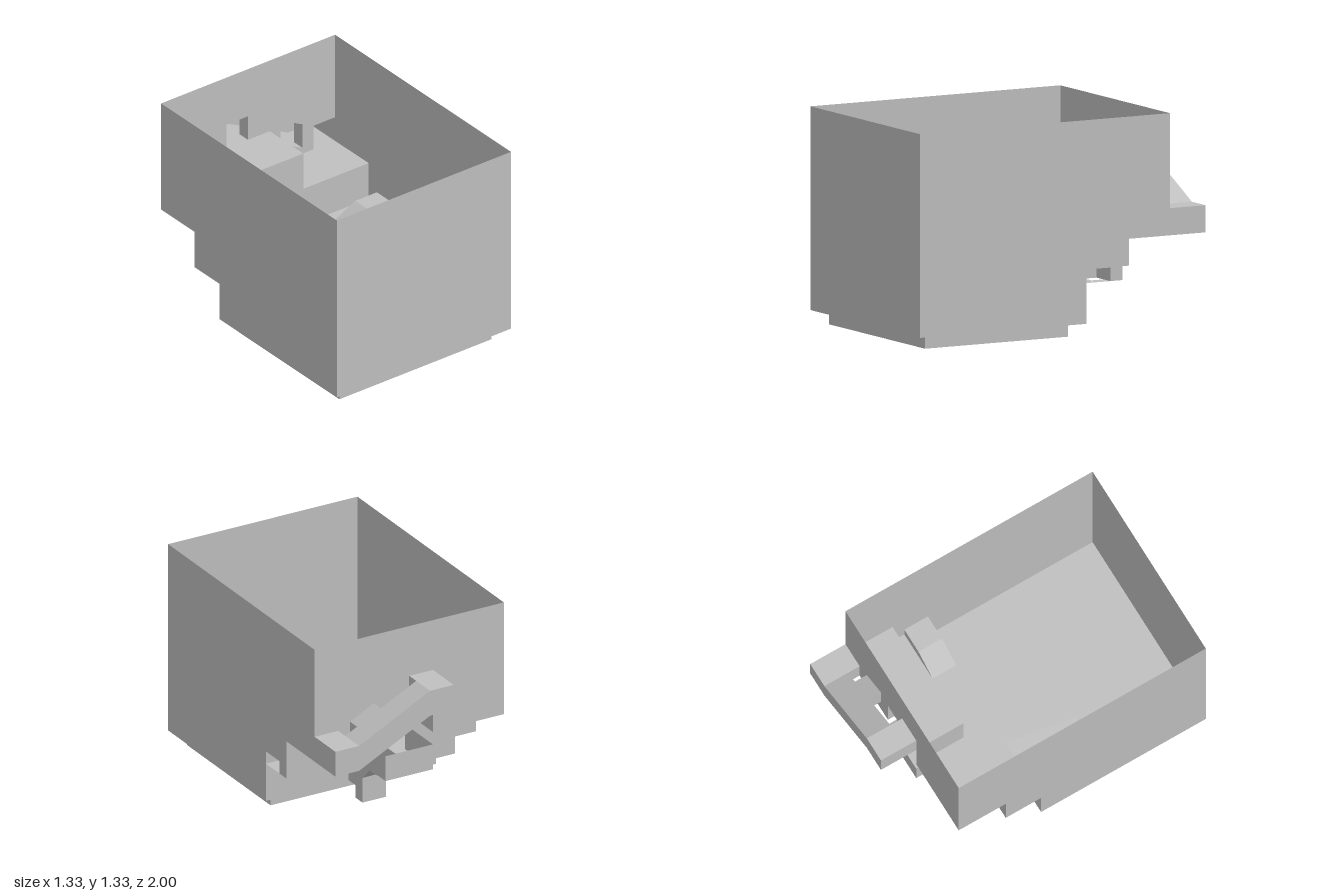
import * as THREE from 'three';

// All dimensions below are in twelfths of a unit.
const U = 1 / 12;

export function createModel() {
  const model = new THREE.Group();
  model.name = 'steppedBin';
  const grey = new THREE.MeshStandardMaterial({ color: 0xc0c0c0, side: THREE.DoubleSide });
  grey.name = 'plain grey';

  function part(name) {
    const group = new THREE.Group();
    group.name = name;
    model.add(group);
    return group;
  }

  function add(parent, geometry, name) {
    const mesh = new THREE.Mesh(geometry, grey);
    mesh.name = name;
    parent.add(mesh);
  }

  // Place (u, v, w) so that w runs along the given axis:
  // x -> u is z, v is y;  y -> u is x, v is z;  z -> u is x, v is y
  function place(axis, u, v, w) {
    if (axis === 'x') return [w * U, v * U, u * U];
    if (axis === 'y') return [u * U, w * U, v * U];
    return [u * U, v * U, w * U];
  }

  const toPoints = (list) => list.map(([u, v]) => new THREE.Vector2(u, v));
  const rect = (u0, u1, v0, v1) => [[u0, v0], [u1, v0], [u1, v1], [u0, v1]];

  // Flat sheet perpendicular to an axis, with optional holes
  function plate(parent, name, axis, w, outline, holes = []) {
    const shape = new THREE.Shape(toPoints(outline));
    holes.forEach((h) => shape.holes.push(new THREE.Path(toPoints(h))));
    const geometry = new THREE.ShapeGeometry(shape);
    const pos = geometry.attributes.position;
    for (let i = 0; i < pos.count; i++) {
      pos.setXYZ(i, ...place(axis, pos.getX(i), pos.getY(i), w));
    }
    geometry.computeVertexNormals();
    add(parent, geometry, name);
  }

  // Folded sheet: a path swept along an axis from w0 to w1
  function band(parent, name, axis, path, w0, w1) {
    const v = [];
    for (let i = 0; i + 1 < path.length; i++) {
      const [a, b] = [path[i], path[i + 1]];
      const q = [[a, w0], [b, w0], [b, w1], [a, w1]].map(([p, w]) => place(axis, p[0], p[1], w));
      [0, 1, 2, 0, 2, 3].forEach((k) => v.push(...q[k]));
    }
    const geometry = new THREE.BufferGeometry();
    geometry.setAttribute('position', new THREE.Float32BufferAttribute(v, 3));
    geometry.computeVertexNormals();
    add(parent, geometry, name);
  }

  // Height of the top of the sloping duct
  const ductTop = (x) => 12 - Math.min(Math.max(x, 0), 6) / 2;
  const ductOutline = (x0, x1) => [
    [x0, ductTop(x0) - 2], [x1, ductTop(x1) - 2], [x1, ductTop(x1)], [x0, ductTop(x0)],
  ];

  // Open-topped body, stepping in twice towards the bottom at the back
  const body = part('body');
  const profile = [[12, 1], [12, 16], [-9, 16], [-9, 7], [-5, 7], [-5, 4]];
  plate(body, 'frontWall', 'z', 12, rect(-8, 8, 1, 16));
  plate(body, 'rightWall', 'x', -8, [...profile, [-2, 4], [-2, 1]]);
  plate(body, 'leftWall', 'x', 8, [...profile, [-4, 4], [-4, 5], [-2, 5], [-2, 1]]);
  plate(body, 'backWall', 'z', -9, [
    [-8, 16], [-8, 7], [-2, 7], [-2, 12], [0, 12], [0, 10], [2, 10], [2, 7],
    [6, 7], [6, 9], [8, 9], [8, 16],
  ], [ductOutline(3, 5)]);
  plate(body, 'middleBackWall', 'z', -5, [
    [-8, 4], [-2, 4], [-2, 6], [2, 6], [2, 4], [8, 4], [8, 7], [2, 7],
    [2, 10], [-2, 10], [-2, 7], [-8, 7],
  ]);
  plate(body, 'lowerBackWall', 'z', -2, [
    [-8, 1], [-5, 1], [-5, 4], [-3, 4], [-3, 1], [8, 1], [8, 4], [-8, 4],
  ].slice(0, 8));
  plate(body, 'bottomFloor', 'y', 1, rect(-8, 8, -2, 12));
  // Lower step and trough floor in one sheet, with the spout and drain holes
  plate(body, 'lowerStep', 'y', 4, [
    [-8, -2], [-8, -5], [-2, -5], [-2, -9], [2, -9], [2, -5], [8, -5], [8, -2],
  ], [rect(-1, 1, -6, -4), rect(6, 7, -4, -3)]);
  for (const s of [-1, 1]) {
    plate(body, 'upperStep', 'y', 7, rect(s * 2, s * 8, -9, -5));
  }

  // Raised channel leading over the upper step into the duct
  const channel = part('raisedChannel');
  plate(channel, 'channelTop', 'y', 10, rect(-2, 2, -9, -5));
  for (const s of [-1, 1]) plate(channel, 'channelSide', 'x', s * 2, rect(-9, -5, 7, 10));

  // Sloping duct across the back, with a strut joining it to the wall
  const duct = part('backDuct');
  for (const [x0, x1, z] of [[-2, 0, -9], [0, 3, -10], [3, 5, -9], [5, 6, -10], [6, 8, -9]]) {
    const [y0, y1] = [ductTop(x0), ductTop(x1)];
    band(duct, 'ductTop', 'z', [[x0, y0], [x1, y1]], -12, z);
    band(duct, 'ductBottom', 'z', [[x0, y0 - 2], [x1, y1 - 2]], -12, z);
    plate(duct, 'ductBack', 'z', -12, ductOutline(x0, x1));
    if (z === -10) plate(duct, 'ductInnerFace', 'z', z, ductOutline(x0, x1));
  }
  for (const [x, z0] of [[-2, -12], [0, -10], [3, -10], [5, -10], [6, -10], [8, -12]]) {
    plate(duct, 'ductSide', 'x', x, rect(z0, -9, ductTop(x) - 2, ductTop(x)));
  }

  // Open trough standing out behind the lower step
  const trough = part('trough');
  plate(trough, 'troughEnd', 'z', -9, rect(-2, 2, 4, 6));
  for (const s of [-1, 1]) plate(trough, 'troughSide', 'x', s * 2, rect(-9, -5, 4, 6));

  // Spout under the trough
  const spout = part('spout');
  const spoutPath = [[-2, 1], [-3, 1], [-3, 0], [-4, 0], [-4, 2], [-5, 3], [-6, 3], [-6, 4]];
  band(spout, 'spoutShell', 'x', spoutPath, -1, 1);
  for (const s of [-1, 1]) plate(spout, 'spoutSide', 'x', s, [[-2, 4], ...spoutPath]);

  // Hooded side outlet above the drain hole
  const hood = part('sideOutlet');
  const hoodPath = [[4, 4], [6, 5], [8, 5]];
  band(hood, 'hoodTop', 'z', hoodPath, -4, -2);
  for (const z of [-4, -2]) plate(hood, 'hoodSide', 'z', z, [...hoodPath, [8, 4]]);
  plate(hood, 'hoodStop', 'x', 6, rect(-4, -3, 4, 5));

  // Wedge-shaped ramp inside, open underneath from the back
  const ramp = part('ramp');
  band(ramp, 'rampTop', 'x', [[-2, 4], [4, 1]], -5, -3);
  for (const x of [-5, -3]) plate(ramp, 'rampSide', 'x', x, [[-2, 1], [4, 1], [-2, 4]]);

  // Frame-shaped foot
  const foot = part('foot');
  plate(foot, 'footUnderside', 'y', 0, rect(-7, 7, -1, 11), [rect(-5, 5, 1, 9)]);
  for (const r of [rect(-7, 7, -1, 11), rect(-5, 5, 1, 9)]) {
    band(foot, 'footRim', 'y', [...r, r[0]], 0, 1);
  }

  return model;
}
